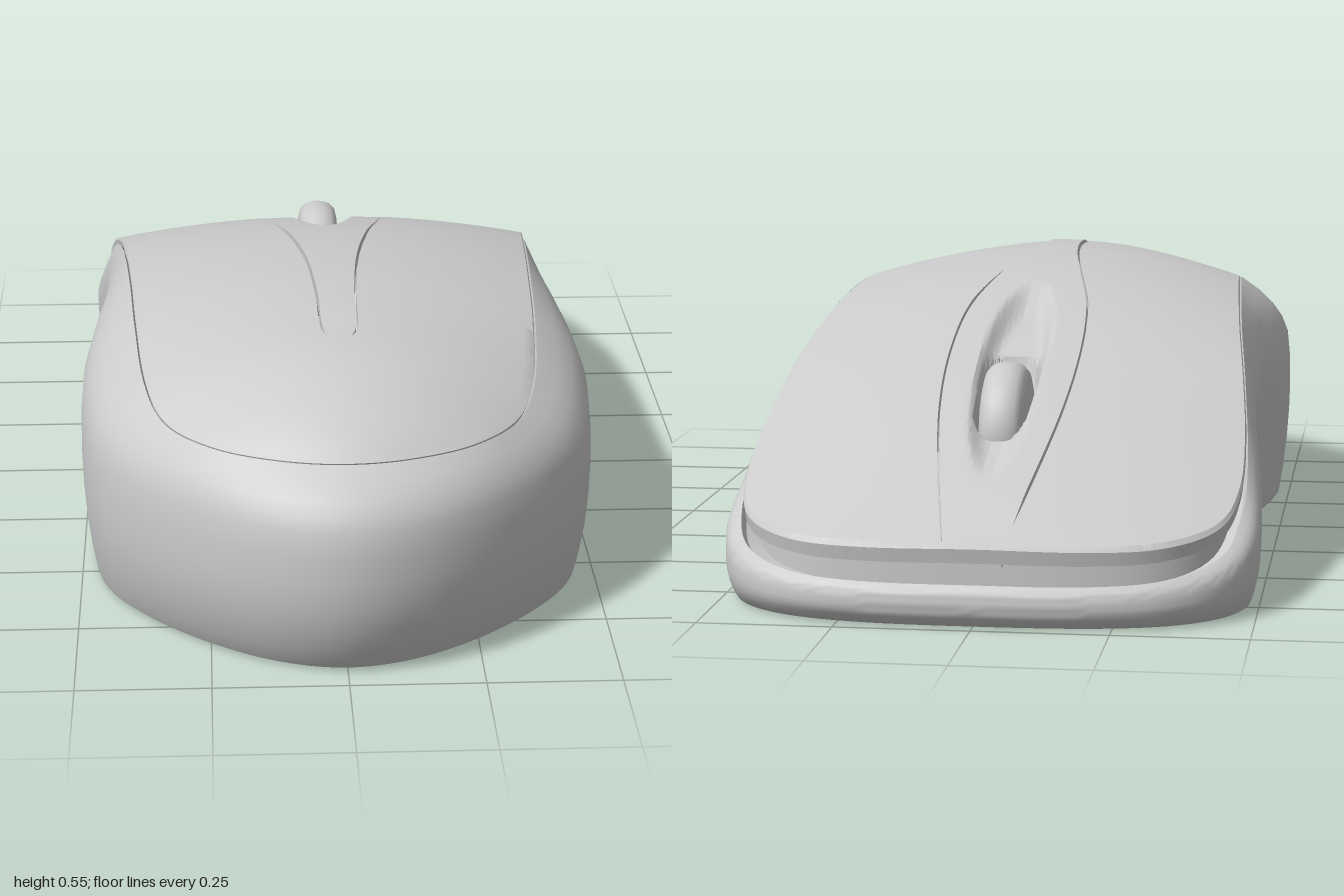
import * as THREE from 'three';
import { toCreasedNormals } from 'three/addons/utils/BufferGeometryUtils.js';

const material = new THREE.MeshStandardMaterial({ color: 0xcccccc, side: THREE.DoubleSide });
const smooth = THREE.MathUtils.smoothstep;

// Half outline from nose to tail: outer x, outer z, seam x, seam z, shell rim y, body rim y
const half = [
  [0, -1, 0, -0.985, 0.155, 0.08],
  [0.2, -0.992, 0.2, -0.976, 0.152, 0.08],
  [0.35, -0.955, 0.34, -0.94, 0.155, 0.088],
  [0.45, -0.88, 0.435, -0.86, 0.175, 0.115],
  [0.497, -0.77, 0.468, -0.75, 0.22, 0.17],
  [0.497, -0.6, 0.468, -0.6, 0.29, 0.25],
  [0.475, -0.4, 0.45, -0.4, 0.38, 0.36],
  [0.465, -0.2, 0.43, -0.2, 0.44, 0.43],
  [0.47, 0, 0.415, 0, 0.475, 0.47],
  [0.49, 0.2, 0.402, 0.2, 0.487, 0.484],
  [0.5, 0.4, 0.39, 0.4, 0.476, 0.473],
  [0.475, 0.6, 0.37, 0.6, 0.44, 0.437],
  [0.4, 0.74, 0.33, 0.72, 0.405, 0.402],
  [0.28, 0.87, 0.24, 0.82, 0.397, 0.394],
  [0.14, 0.965, 0.12, 0.88, 0.396, 0.393],
  [0, 1, 0, 0.9, 0.396, 0.393],
];

// Closed curve through the half outline and its mirror image
function loopCurve(ix, iy, iz) {
  const right = half.map((p) => new THREE.Vector3(p[ix], p[iy], p[iz]));
  const left = right.slice(1, -1).reverse().map((p) => new THREE.Vector3(-p.x, p.y, p.z));
  return new THREE.CatmullRomCurve3([...right, ...left], true, 'catmullrom', 0.5);
}
const outer = loopCurve(0, 5, 1); // height is the body rim
const seam = loopCurve(2, 4, 3); // height is the shell rim

// Smooth function through [z, value] pairs
function spline(pts) {
  const slope = (i) => {
    const a = pts[Math.max(0, i - 1)], b = pts[Math.min(pts.length - 1, i + 1)];
    return (b[1] - a[1]) / (b[0] - a[0]);
  };
  return (z) => {
    let i = 0;
    while (i < pts.length - 2 && z > pts[i + 1][0]) i++;
    const h = pts[i + 1][0] - pts[i][0];
    const t = THREE.MathUtils.clamp((z - pts[i][0]) / h, 0, 1);
    const a = pts[i][1], b = pts[i + 1][1], m = slope(i) * h, n = slope(i + 1) * h;
    return a + t * (m + t * (3 * (b - a) - 2 * m - n + t * (2 * (a - b) + m + n)));
  };
}
const crown = spline([[-0.985, 0.155], [-0.8, 0.248], [-0.6, 0.345], [-0.4, 0.424], [-0.2, 0.488], [0, 0.526],
  [0.25, 0.543], [0.4, 0.54], [0.6, 0.526], [0.7, 0.506], [0.8, 0.465], [0.87, 0.423], [0.9, 0.396]]);
const stripWidth = spline([[-0.985, 0.055], [-0.8, 0.09], [-0.6, 0.12], [-0.4, 0.13], [-0.2, 0.12], [0, 0.085],
  [0.2, 0.055], [0.4, 0.04], [0.55, 0.036], [0.59, 0.026], [0.61, 0]]);
const spineHalf = (z) => (z >= 0.61 ? 0 : Math.max(0, stripWidth(z)));

// Seam point at a given z
function seamAt(z) {
  let lo = 0, hi = 0.5;
  for (let k = 0; k < 30; k++) {
    const mid = (lo + hi) / 2;
    if (seam.getPoint(mid).z < z) lo = mid; else hi = mid;
  }
  return seam.getPoint(lo);
}

// Surface from a rule giving the point at column j of row i
function grid(name, rows, cols, rule, flip = false) {
  const pos = [], index = [];
  for (let i = 0; i <= rows; i++) for (let j = 0; j <= cols; j++) pos.push(...rule(i, j));
  for (let i = 0; i < rows; i++) for (let j = 0; j < cols; j++) {
    const a = i * (cols + 1) + j, c = a + 1, b = a + cols + 1, d = b + 1;
    if (flip) index.push(a, b, c, b, d, c);
    else index.push(a, c, b, b, c, d);
  }
  const g = new THREE.BufferGeometry();
  g.setAttribute('position', new THREE.Float32BufferAttribute(pos, 3));
  g.setIndex(index);
  const mesh = new THREE.Mesh(toCreasedNormals(g, 0.6), material);
  mesh.name = name;
  return mesh;
}

// Underside with sensor dimple, bulging side wall, then a ledge below the shell
function makeBody() {
  const dimple = [[0, 0, 0.06], [0.045, 0.05, 0.06], [0.05, 0.06, 0.025], [0.075, 0.11, 0.012], [0.1, 0.17, 0]];
  // fraction of rim height, bottom inset, blend from outer outline to seam
  const wall = [[0, 1.3, 0], [0.012, 1.03, 0], [0.04, 0.9, 0], [0.12, 0.6, 0], [0.25, 0.25, 0], [0.38, 0.06, 0],
    [0.5, 0, 0], [0.63, 0, 0.015], [0.75, 0, 0.07], [0.82, 0, 0.19], [0.88, 0, 0.37], [0.94, 0, 0.64], [1, 0, 1]];
  const ledge = [[0.985, -0.015], [0.95, -0.015], [0.95, 0.2]];
  const n = 192;
  return grid('body', n, dimple.length + wall.length + ledge.length - 1, (i, j) => {
    const t = (i % n) / n;
    if (j < dimple.length) {
      const [a, b, y] = dimple[j];
      return [Math.sin(t * 2 * Math.PI) * a, y, -Math.cos(t * 2 * Math.PI) * b];
    }
    const o = outer.getPoint(t), s = seam.getPoint(t);
    j -= dimple.length;
    if (j < wall.length) {
      const [f, inset, blend] = wall[j];
      const k = 1 - inset * (0.03 + 0.03 * smooth(o.z, 0.2, 1));
      const waist = 1 - 0.09 * Math.exp(-(((o.z + 0.15) / 0.35) ** 2)) * (1 - smooth(f, 0, 0.8));
      return [THREE.MathUtils.lerp(o.x * k * waist, s.x, blend), o.y * f, THREE.MathUtils.lerp(o.z * k, s.z, blend)];
    }
    const [k, dy] = ledge[j - wall.length];
    const y = dy > 0 ? s.y - 0.008 - 0.35 * (s.y - o.y) : o.y + dy;
    return [s.x * k, y, s.z * k];
  });
}

// One half of the top shell, with a thick rim and a wall along the centre strip
function makeShell(name, side) {
  const rows = 240, cols = 18, skirt = 3;
  return grid(name, rows, skirt + cols + 1, (i, j) => {
    const t = (i / rows) * 0.5, s = seam.getPoint(t), rim = s.y;
    const thick = 0.012 + 0.35 * (rim - outer.getPoint(t).y);
    if (j < skirt) {
      const [k, dy] = [[0.9, 1], [0.987, 1], [0.992, 0.3]][j];
      return [side * Math.max(s.x * k, Math.min(s.x, spineHalf(s.z))), rim - thick * dy, s.z * k];
    }
    const w = s.x * 0.986, z = s.z * 0.986, inner = Math.min(w, spineHalf(z));
    const u = Math.min(1, (j - skirt) / cols);
    const x = THREE.MathUtils.lerp(w, inner, u);
    const r = w > 1e-5 ? x / w : 1;
    const y = rim + Math.max(0, crown(s.z) - rim) * (1 - r * r);
    return [side * x, j > skirt + cols ? y - (inner > 0 ? 0.03 : 0) : y, z];
  }, side < 0);
}

// Centre strip with the wheel well and the slot pressed into it
function makeStrip() {
  const rows = 220, cols = 50;
  return grid('centreStrip', rows, cols, (i, j) => {
    const z = -0.185 - 0.787 * Math.cos((Math.max(0, i - 1) / (rows - 1)) * Math.PI);
    const w = Math.max(0, spineHalf(z) - 0.004);
    const x = w * (1 - 2 * THREE.MathUtils.clamp((j - 1) / (cols - 2), 0, 1));
    const s = seamAt(z);
    let y = s.y + Math.max(0, crown(z) - s.y) * (1 - (x / Math.max(s.x, 0.1)) ** 2);
    y += -0.003 + 0.009 * smooth(z, -0.2, 0.15) * (1 - smooth(z, 0.45, 0.6));
    y -= 0.018 * (1 - smooth(z, -0.97, -0.82));
    const well = (x / 0.068) ** 2 + ((z + 0.44) / 0.37) ** 2;
    const slot = (x / 0.053) ** 4 + ((z + 0.515) / 0.138) ** 4;
    y -= 0.03 * (1 - smooth(well, 0.3, 1.05)) + 0.06 * (1 - smooth(slot, 0.8, 1.15));
    if (j === 0 || j === cols) y -= 0.03;
    if (i === 0) y = 0.07;
    return [x, y, z];
  });
}

function makeWheel() {
  const profile = [[0, -0.042], [0.095, -0.042], [0.112, -0.038], [0.123, -0.028], [0.128, -0.014], [0.13, 0],
    [0.128, 0.014], [0.123, 0.028], [0.112, 0.038], [0.095, 0.042], [0, 0.042]];
  const g = new THREE.LatheGeometry(profile.map(([r, y]) => new THREE.Vector2(r, y)), 64);
  const wheel = new THREE.Mesh(toCreasedNormals(g, 0.7), material);
  wheel.name = 'scrollWheel';
  wheel.rotation.z = Math.PI / 2;
  wheel.position.set(0, 0.283, -0.515);
  return wheel;
}

export function createModel() {
  const group = new THREE.Group();
  group.name = 'computerMouse';
  group.add(makeBody(), makeShell('leftShell', 1), makeShell('rightShell', -1), makeStrip(), makeWheel());
  return group;
}
